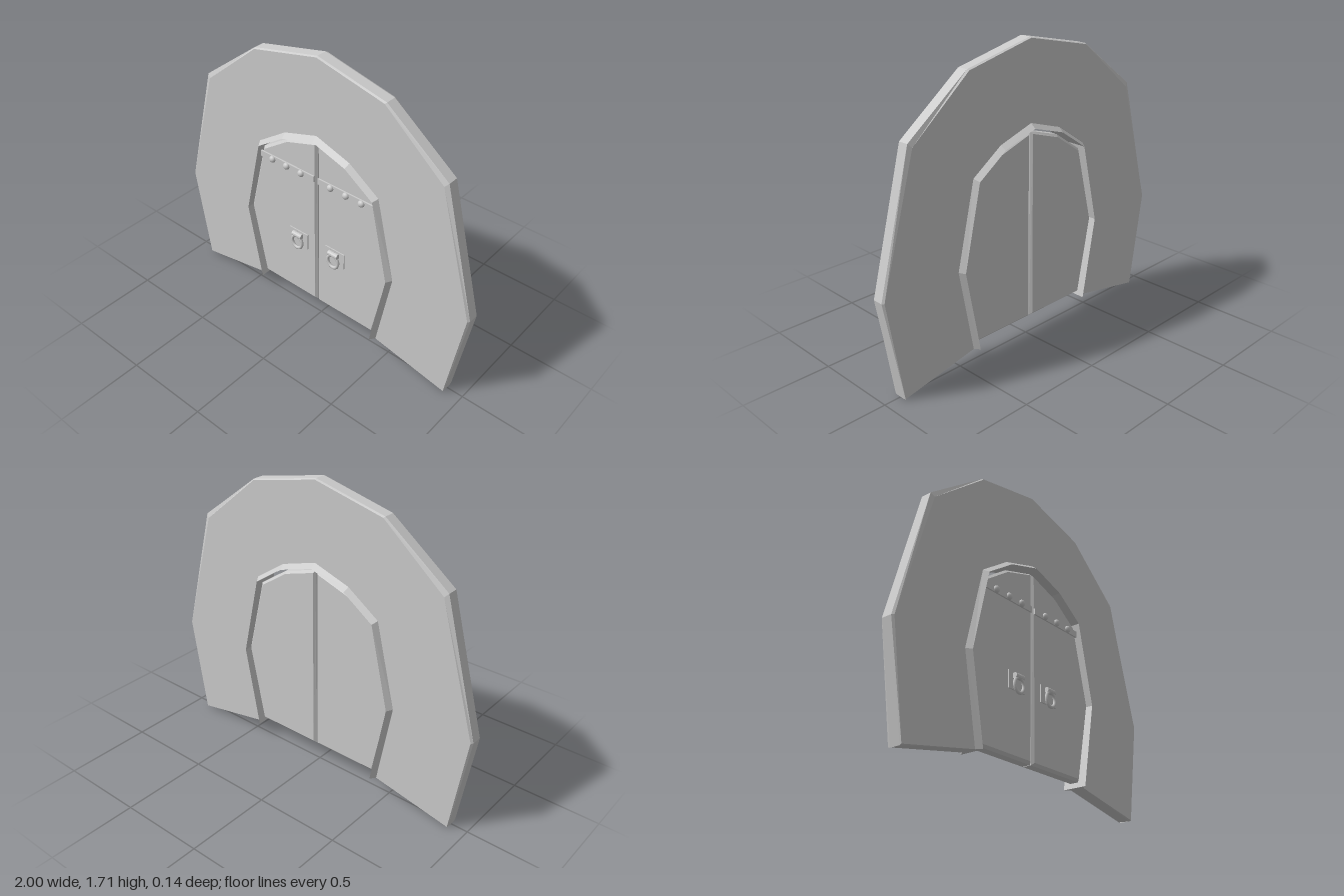
import * as THREE from 'three';

const material = new THREE.MeshStandardMaterial({ color: 0xcccccc, flatShading: true });
const smooth = new THREE.MeshStandardMaterial({ color: 0xcccccc });

function addMesh(parent, name, geometry, x = 0, y = 0, z = 0, mat = material) {
  const mesh = new THREE.Mesh(geometry, mat);
  mesh.name = name;
  mesh.position.set(x, y, z);
  parent.add(mesh);
  return mesh;
}

// Mirrors a half arch (foot to crown) into a full one, right foot to left foot
function fullArch(half) {
  return [...half, ...half.slice(0, -1).reverse().map(([x, y]) => [-x, y])];
}

// Skins closed cross-sections along an arch and caps both feet
function loft(sections) {
  const pos = [];
  const tri = (a, b, c) => pos.push(...a, ...b, ...c);
  const n = sections[0].length;
  for (let i = 0; i < sections.length - 1; i++) {
    for (let j = 0; j < n; j++) {
      const k = (j + 1) % n;
      const a = sections[i][j], b = sections[i][k];
      const d = sections[i + 1][j], c = sections[i + 1][k];
      tri(a, d, c);
      tri(a, c, b);
    }
  }
  const first = sections[0], last = sections[sections.length - 1];
  for (let j = 1; j < n - 1; j++) {
    tri(first[0], first[j], first[j + 1]);
    tri(last[0], last[j + 1], last[j]);
  }
  const geometry = new THREE.BufferGeometry();
  geometry.setAttribute('position', new THREE.Float32BufferAttribute(pos, 3));
  geometry.computeVertexNormals();
  return geometry;
}

export function createModel() {
  const model = new THREE.Group();
  model.name = 'archedGate';

  // Half outlines from foot to crown
  const wallEdge = fullArch([[0.9, 0], [1, 0.58], [0.8, 1.33], [0.425, 1.615], [0, 1.71]]);
  const wallFace = fullArch([[0.9, 0.005], [0.99, 0.58], [0.78, 1.31], [0.42, 1.61], [0, 1.705]]);
  const trimOuter = fullArch([[0.435, 0.095], [0.525, 0.58], [0.41, 1.06], [0.22, 1.19], [0, 1.26]]);
  const trimInner = fullArch([[0.412, 0.095], [0.502, 0.575], [0.393, 1.045], [0.213, 1.168], [0, 1.235]]);

  // Wall: flat slab with lightly chamfered outer edge
  addMesh(model, 'wall', loft(wallEdge.map((e, i) => {
    const f = wallFace[i], t = trimOuter[i];
    return [[...e, 0.03], [...f, 0.041], [...t, 0.041], [...t, -0.041], [...f, -0.041], [...e, -0.03]];
  })));

  // Door frame: sloped outside, straight inside, proud of the wall on both faces
  addMesh(model, 'doorFrame', loft(trimOuter.map((o, i) => {
    const n = trimInner[i];
    return [[...o, 0.04], [...n, 0.071], [...n, -0.071], [...o, -0.04]];
  })));

  for (const side of [1, -1]) {
    const door = new THREE.Group();
    door.name = side > 0 ? 'leftDoor' : 'rightDoor';
    model.add(door);

    // Door leaf with bevelled edges
    const outline = [[0.003, 0.122], [0.41, 0.122], [0.503, 0.575], [0.392, 1.025], [0.215, 1.147], [0.003, 1.213]];
    const leaf = new THREE.ExtrudeGeometry(
      new THREE.Shape(outline.map(([x, y]) => new THREE.Vector2(side * x, y))),
      { depth: 0.05, bevelEnabled: true, bevelSegments: 1, bevelThickness: 0.014, bevelSize: 0.014, bevelOffset: -0.014 });
    leaf.translate(0, 0, -0.025);
    addMesh(door, 'doorLeaf', leaf);

    // Strap with a row of studs
    addMesh(door, 'strap', new THREE.BoxGeometry(0.385, 0.036, 0.012), side * 0.207, 0.985, 0.042);
    for (const x of [0.103, 0.207, 0.31]) {
      const stud = addMesh(door, 'stud', new THREE.SphereGeometry(0.02, 14, 10), side * x, 0.985, 0.05, smooth);
      stud.scale.z = 0.8;
    }

    // Handle: backing plate, pivot and hanging ring
    const hx = side * 0.132;
    addMesh(door, 'handlePlate', new THREE.BoxGeometry(0.135, 0.1, 0.008), hx, 0.525, 0.041);
    const pivot = new THREE.CylinderGeometry(0.016, 0.016, 0.066, 12).rotateZ(Math.PI / 2);
    addMesh(door, 'handlePivot', pivot, hx, 0.551, 0.054);
    const ring = addMesh(door, 'handleRing', new THREE.TorusGeometry(0.036, 0.009, 8, 24), hx, 0.505, 0.058, smooth);
    ring.scale.y = 1.15;
  }

  return model;
}
